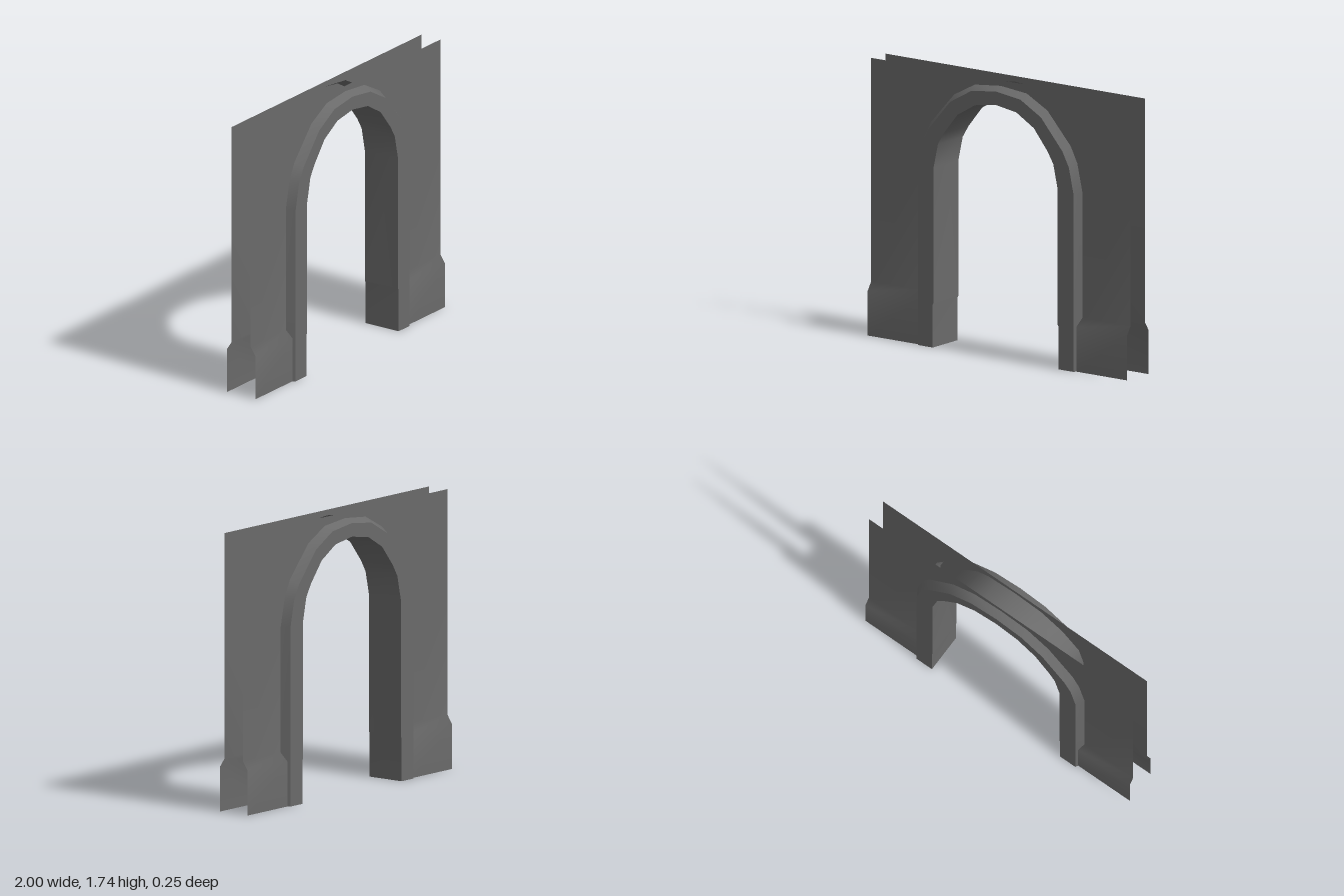
import * as THREE from 'three';

const FACE_Z = 0.125;  // front of the casing
const WALL_Z = 0.072;  // wall sheet
const SKIRT_Z = 0.108; // thicker foot of the wall

// Half profiles, from the right foot up to the crown: [x, y]
const opening = [[0.485, 0], [0.485, 0.27], [0.479, 0.28], [0.479, 1.13], [0.445, 1.285], [0.4, 1.36], [0.295, 1.49], [0.16, 1.57], [0, 1.595]];
const faceEdge = [[0.6, 0], [0.6, 0.27], [0.6, 0.28], [0.6, 1.12], [0.565, 1.28], [0.515, 1.375], [0.35, 1.565], [0.19, 1.655], [0, 1.68]];
const wallEdge = [[0.63, 0], [0.63, 0.27], [0.63, 0.28], [0.63, 1.12], [0.59, 1.3], [0.54, 1.4], [0.36, 1.6], [0.2, 1.685], [0, 1.705]];

// Complete a half profile by mirroring it over the crown
const mirror = (half) => [...half, ...half.slice(0, -1).reverse().map(([x, y, z]) => [-x, y, z])];
const atZ = (half, z) => mirror(half.map(([x, y]) => [x, y, z]));

// Smooth ribbon between two matching polylines
function ribbon(name, a, b, material) {
  const index = [];
  for (let i = 0; i < a.length - 1; i++) {
    const p = 2 * i;
    index.push(p, p + 1, p + 3, p, p + 3, p + 2);
  }
  const geometry = new THREE.BufferGeometry();
  const points = a.flatMap((p, i) => [...p, ...b[i]]);
  geometry.setAttribute('position', new THREE.Float32BufferAttribute(points, 3));
  geometry.setIndex(index);
  geometry.computeVertexNormals();
  const mesh = new THREE.Mesh(geometry, material);
  mesh.name = name;
  return mesh;
}

export function createModel() {
  const stone = new THREE.MeshStandardMaterial({ color: 0x6a6a6a });
  stone.name = 'dark grey';
  stone.side = THREE.DoubleSide;

  const model = new THREE.Group();
  model.name = 'archway';

  // Jambs and curved underside
  model.add(ribbon('soffit', atZ(opening, -FACE_Z), atZ(opening, FACE_Z), stone));

  // Wall sheet: its foot steps outward and meets the casing bevel further in
  const wallInner = [[0.608, 0, SKIRT_Z], [0.608, 0.28, SKIRT_Z], [0.63, 0.335, WALL_Z],
    ...wallEdge.slice(3).map(([x, y]) => [x, y, WALL_Z])];
  const wallOuter = [[1, 0, SKIRT_Z], [1, 0.28, SKIRT_Z], [1, 0.335, WALL_Z], [1, 1.12, WALL_Z], [1, 1.3, WALL_Z],
    [1, 1.4, WALL_Z], [1, 1.74, WALL_Z], [0.2, 1.74, WALL_Z], [0, 1.74, WALL_Z]];

  // The same casing and wall on both sides
  for (const [side, angle] of [['front', 0], ['back', Math.PI]]) {
    const group = new THREE.Group();
    group.name = side + 'Side';
    group.rotation.y = angle;
    group.add(
      ribbon('casingFace', atZ(opening, FACE_Z), atZ(faceEdge, FACE_Z), stone),
      ribbon('casingBevel', atZ(faceEdge, FACE_Z), atZ(wallEdge, WALL_Z), stone),
      ribbon('wall', mirror(wallInner), mirror(wallOuter), stone),
    );
    model.add(group);
  }
  return model;
}
